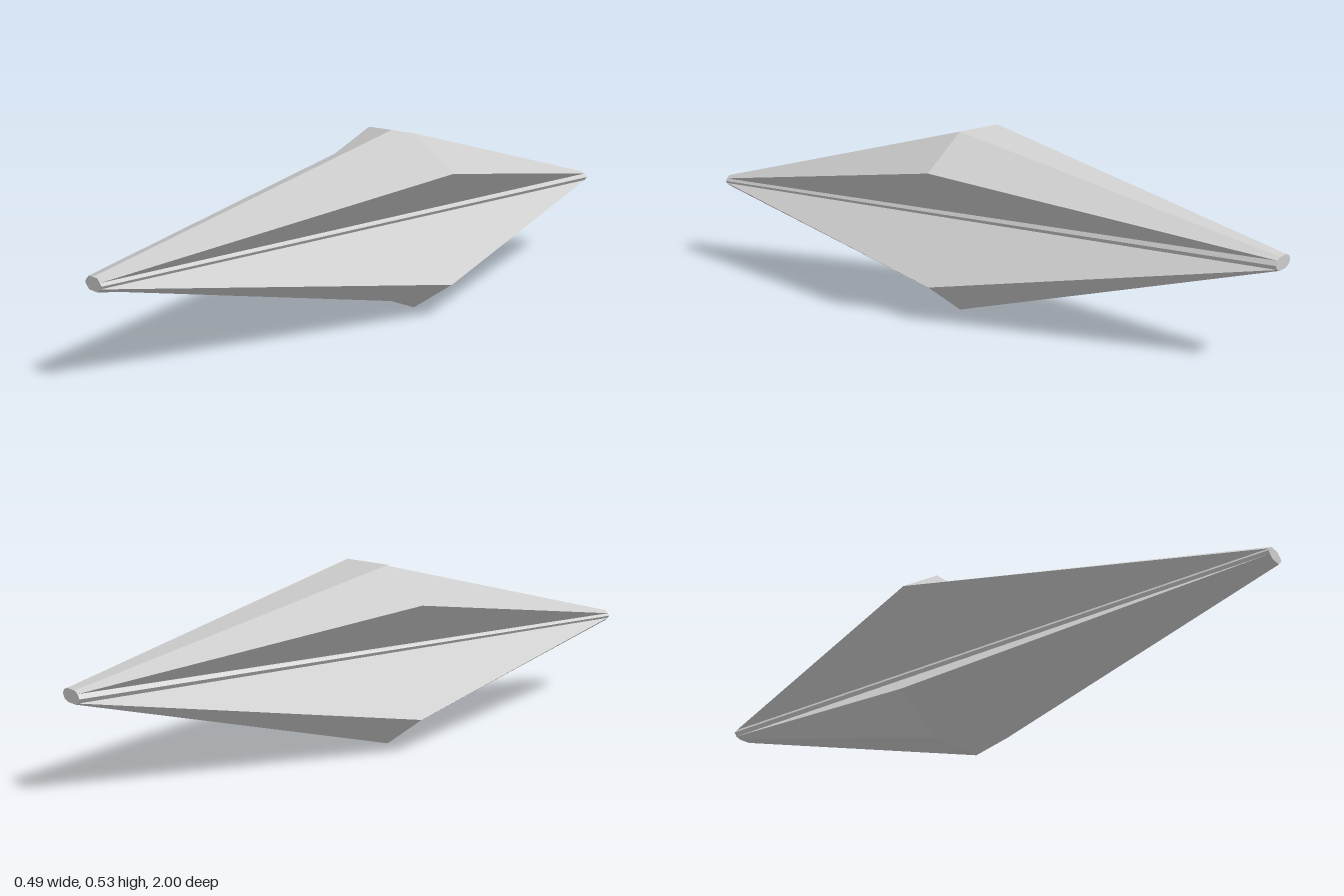
import * as THREE from 'three';

const MID_Y = 0.267; // height of the horizontal mirror plane
const MID_Z = -0.05; // widest cross-section

// One quarter (x >= 0, above the mirror plane); y is measured from that plane.
const at = (z, pts) => pts.map(([x, y]) => [x, y, z]);
const [ridge, shoulder, corner] = at(MID_Z, [[0, 0.266], [0.095, 0.266], [0.247, 0.165]]);
const front = at(1, [[0, 0.018], [0.018, 0.018], [0.03, 0.008], [0.036, 0], [0, 0]]);
const back = at(-1, [[0, 0.018], [0.02, 0.018], [0.038, 0.012], [0.047, 0], [0, 0]]);

// Polygons of the quarter, counter-clockwise from outside, fanned from their first corner
const parts = {
  frontPanel: [[corner, shoulder, ridge, front[0], front[1], front[2]]],
  backPanel: [
    [corner, back[2], back[1], shoulder],
    [shoulder, back[1], back[0], ridge],
  ],
  sideNotch: [[corner, front[2], back[2]]],
  coreStrip: [[front[3], back[3], back[2], front[2]]],
  frontCap: [[front[4], front[3], front[2], front[1], front[0]]],
  backCap: [[back[4], back[0], back[1], back[2], back[3]]],
};

// Mirrors the polygons into all four quarters, with one flat normal per polygon
function mirroredGeometry(polygons) {
  const position = [];
  const normal = [];
  for (const sx of [1, -1]) {
    for (const sy of [1, -1]) {
      for (const polygon of polygons) {
        const pts = polygon.map(([x, y, z]) => new THREE.Vector3(x * sx, MID_Y + y * sy, z));
        if (sx * sy < 0) pts.reverse().unshift(pts.pop()); // keep the same fan corner
        const n = new THREE.Vector3();
        for (let i = 1; i < pts.length - 1; i++) {
          const a = pts[i].clone().sub(pts[0]);
          n.add(a.cross(pts[i + 1].clone().sub(pts[0])));
        }
        n.normalize();
        for (let i = 1; i < pts.length - 1; i++) {
          for (const p of [pts[0], pts[i], pts[i + 1]]) {
            position.push(p.x, p.y, p.z);
            normal.push(n.x, n.y, n.z);
          }
        }
      }
    }
  }
  const geometry = new THREE.BufferGeometry();
  geometry.setAttribute('position', new THREE.Float32BufferAttribute(position, 3));
  geometry.setAttribute('normal', new THREE.Float32BufferAttribute(normal, 3));
  return geometry;
}

export function createModel() {
  const group = new THREE.Group();
  group.name = 'facetedSpindle';
  const material = new THREE.MeshStandardMaterial({ color: 0xcccccc, side: THREE.DoubleSide });
  for (const [name, polygons] of Object.entries(parts)) {
    const mesh = new THREE.Mesh(mirroredGeometry(polygons), material);
    mesh.name = name;
    group.add(mesh);
  }
  return group;
}
